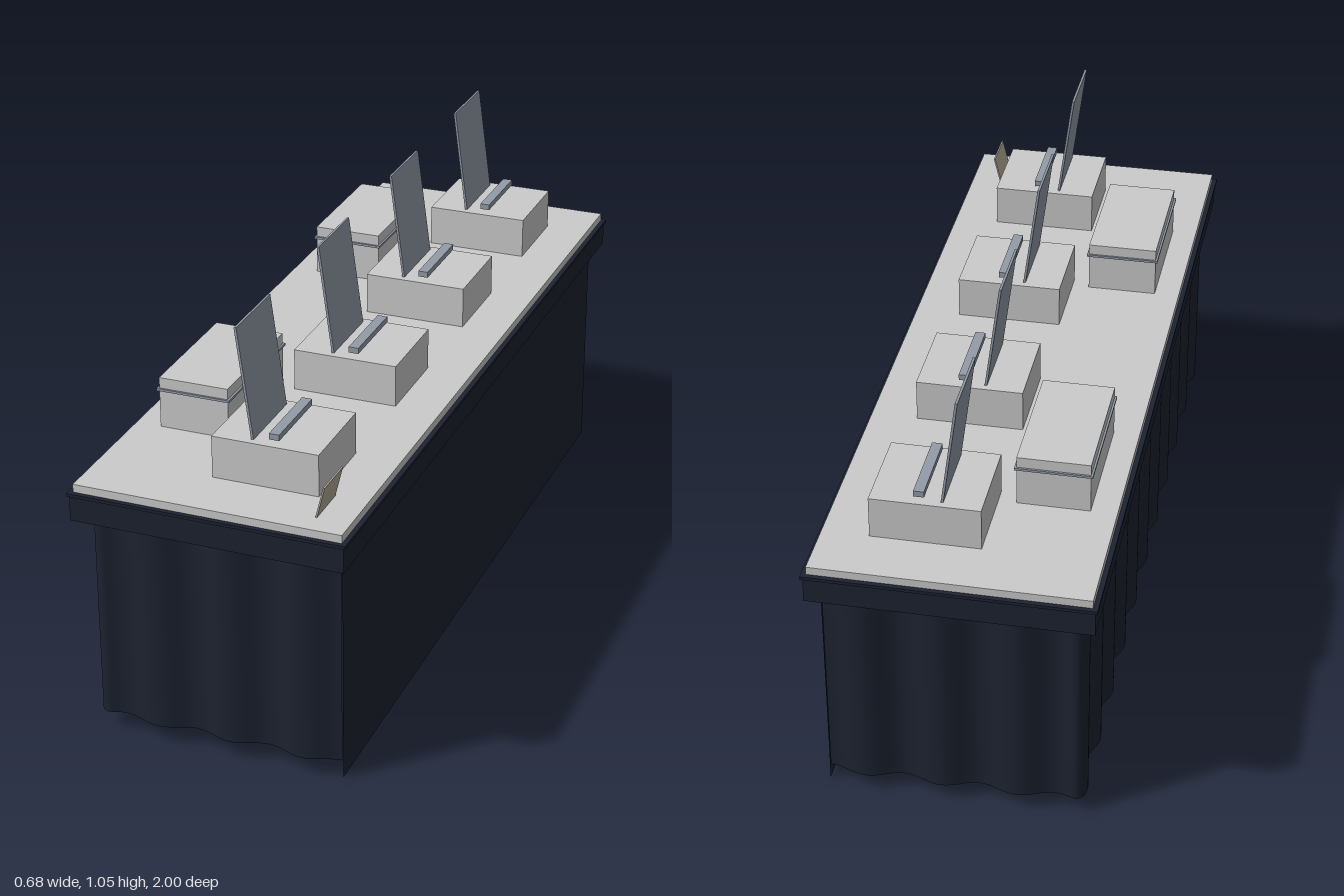
import * as THREE from 'three';

const mat = (color) => new THREE.MeshStandardMaterial({ color, side: THREE.DoubleSide });
const grey = mat(0xcccccc);
const cloth = mat(0x1c2230);
const steel = mat(0x939ca8);
const card = mat(0xb8b09a);

// Box given by its x, y and z ranges
function box(parent, name, material, [x0, x1], [y0, y1], [z0, z1]) {
  const mesh = new THREE.Mesh(new THREE.BoxGeometry(x1 - x0, y1 - y0, z1 - z0), material);
  mesh.position.set((x0 + x1) / 2, (y0 + y1) / 2, (z0 + z1) / 2);
  mesh.name = name;
  parent.add(mesh);
  return mesh;
}

// Thin upright plate leaning in the xy plane from a bottom to a top point
function leaningPlate(parent, name, material, [xa, ya], [xb, yb], width, z, thickness) {
  const length = Math.hypot(xb - xa, yb - ya);
  const mesh = new THREE.Mesh(new THREE.BoxGeometry(thickness, length, width), material);
  mesh.position.set((xa + xb) / 2, (ya + yb) / 2, z);
  mesh.rotation.z = -Math.atan2(xb - xa, yb - ya);
  mesh.name = name;
  parent.add(mesh);
}

// Pleated cloth running round three sides of the table
function pleatedSkirt() {
  const X = 0.298, Z = 0.952, R = 0.025, N = 360, amp = 0.012, pleats = 17;
  const path = new THREE.Path();
  path.moveTo(0.308, Z);
  path.lineTo(-X + R, Z);
  path.quadraticCurveTo(-X, Z, -X, Z - R);
  path.lineTo(-X, -Z + R);
  path.quadraticCurveTo(-X, -Z, -X + R, -Z);
  path.lineTo(0.308, -Z);
  const pts = path.getSpacedPoints(N);
  const geo = new THREE.PlaneGeometry(1, 1, N, 1);
  const pos = geo.attributes.position;
  for (let i = 0; i <= N; i++) {
    const a = pts[Math.max(i - 1, 0)], b = pts[Math.min(i + 1, N)];
    const d = b.clone().sub(a).normalize();
    const wave = amp * Math.cos((i / N - 0.5) * pleats * Math.PI * 2);
    const x = pts[i].x + d.y * wave, z = pts[i].y - d.x * wave;
    pos.setXYZ(i, x, 0.6, z);
    pos.setXYZ(i + N + 1, x, 0.045, z);
  }
  // Turn the faces outward
  const idx = geo.index.array;
  for (let i = 0; i < idx.length; i += 3) [idx[i], idx[i + 1]] = [idx[i + 1], idx[i]];
  geo.computeVertexNormals();
  const mesh = new THREE.Mesh(geo, cloth);
  mesh.name = 'pleatedSkirt';
  return mesh;
}

export function createModel() {
  const model = new THREE.Group();
  model.name = 'displayTable';

  // Table top: cloth band, dark edge and pale surface
  box(model, 'valance', cloth, [-0.335, 0.335], [0.577, 0.64], [-0.995, 0.995]);
  box(model, 'tableEdge', cloth, [-0.34, 0.34], [0.64, 0.648], [-1, 1]);
  box(model, 'tableSurface', grey, [-0.328, 0.328], [0.648, 0.668], [-0.988, 0.988]);

  // Legs
  for (const x of [-0.268, 0.268])
    for (const z of [-0.92, 0.92])
      box(model, 'leg', grey, [x - 0.01, x + 0.01], [0.037, 0.577], [z - 0.01, z + 0.01]);

  // Pleated cloth on three sides, a flat hanging panel on the fourth
  model.add(pleatedSkirt());
  const panel = new THREE.Mesh(new THREE.PlaneGeometry(1.88, 0.6), cloth);
  panel.rotation.y = Math.PI / 2;
  panel.position.set(0.311, 0.3, 0.002);
  panel.name = 'flatPanel';
  model.add(panel);

  // Four stations: base box, leaning screen and bar
  for (const z of [-0.733, -0.246, 0.24, 0.728]) {
    const station = new THREE.Group();
    station.name = 'station';
    box(station, 'stationBase', grey, [-0.047, 0.215], [0.668, 0.773], [z - 0.114, z + 0.114]);
    leaningPlate(station, 'screen', steel, [0.047, 0.773], [0.01, 1.045], 0.194, z, 0.006);
    box(station, 'bar', steel, [0.088, 0.113], [0.782, 0.797], [z - 0.098, z + 0.098]);
    model.add(station);
  }

  // Two lidded boxes
  for (const z of [-0.492, 0.488]) {
    const crate = new THREE.Group();
    crate.name = 'liddedBox';
    box(crate, 'boxBody', grey, [-0.265, -0.09], [0.668, 0.796], [z - 0.165, z + 0.165]);
    box(crate, 'lidRim', steel, [-0.27, -0.085], [0.763, 0.769], [z - 0.17, z + 0.17]);
    model.add(crate);
  }

  // Small leaning card
  leaningPlate(model, 'card', card, [0.245, 0.668], [0.264, 0.745], 0.11, 0.878, 0.004);
  return model;
}
